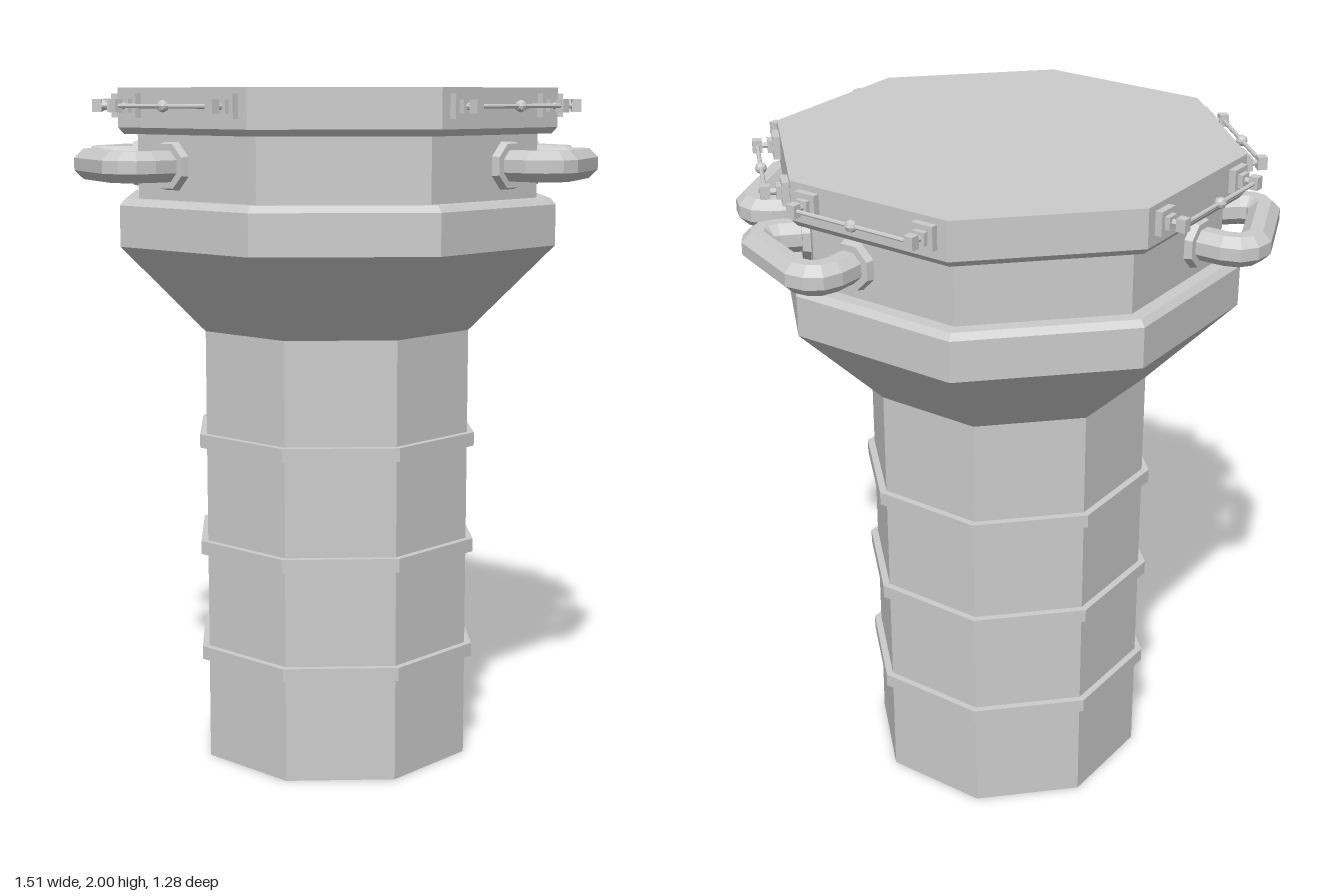
import * as THREE from 'three';

const grey = new THREE.MeshStandardMaterial({ color: 0xcccccc, flatShading: true });
const EIGHTH = Math.PI / 8;

function add(parent, name, geometry, x = 0, y = 0, z = 0) {
  const mesh = new THREE.Mesh(geometry, grey);
  mesh.name = name;
  mesh.position.set(x, y, z);
  parent.add(mesh);
  return mesh;
}

// Octagonal turned body; profile gives [distance to the flat, height]
function octagon(profile) {
  const points = profile.map(([a, y]) => new THREE.Vector2(a / Math.cos(EIGHTH), y));
  return new THREE.LatheGeometry(points, 8).rotateY(EIGHTH);
}

// Octagonal bar swept along a level path of [x, z] points, mitred at each bend
function sweepBar(path, apothem) {
  const up = new THREE.Vector3(0, 1, 0);
  const pts = path.map(([x, z]) => new THREE.Vector3(x, 0, z));
  const dirs = pts.slice(1).map((p, i) => p.clone().sub(pts[i]).normalize());
  const r = apothem / Math.cos(EIGHTH);
  const pos = [], index = [];
  pts.forEach((p, i) => {
    const before = dirs[Math.max(i - 1, 0)];
    const after = dirs[Math.min(i, dirs.length - 1)];
    const t = before.clone().add(after).normalize();
    const n = up.clone().cross(t);
    const mitre = 1 / t.dot(after);
    for (let j = 0; j < 8; j++) {
      const a = j * Math.PI / 4 + EIGHTH;
      const side = Math.cos(a) * r * mitre;
      pos.push(p.x + n.x * side, Math.sin(a) * r, p.z + n.z * side);
    }
  });
  for (let i = 0; i < pts.length - 1; i++) {
    for (let j = 0; j < 8; j++) {
      const a = i * 8 + j, b = i * 8 + (j + 1) % 8;
      index.push(a, b, a + 8, b, b + 8, a + 8);
    }
  }
  const geometry = new THREE.BufferGeometry();
  geometry.setAttribute('position', new THREE.Float32BufferAttribute(pos, 3));
  geometry.setIndex(index);
  geometry.computeVertexNormals();
  return geometry;
}

// Bent handle joining a side face of the neck to the diagonal face beside it
function makeHandle() {
  const handle = new THREE.Group();
  handle.name = 'handle';
  const half = [[0.53, 0.093], [0.655, 0.096], [0.69, 0.108], [0.706, 0.13], [0.71, 0.165]];
  const mirrored = half.map(([x, z]) => [(x + z) * Math.SQRT1_2, (x - z) * Math.SQRT1_2]).reverse();
  add(handle, 'handleBar', sweepBar([...half, ...mirrored], 0.043));

  // Collars where the bar meets the neck
  for (const [angle, offset] of [[0, 0.093], [-Math.PI / 4, -0.093]]) {
    const mount = new THREE.Group();
    mount.name = 'handleMount';
    mount.rotation.y = angle;
    const collar = new THREE.CylinderGeometry(0.066, 0.074, 0.03, 8).rotateY(EIGHTH).rotateZ(-Math.PI / 2);
    add(mount, 'handleCollar', collar, 0.574, 0, offset);
    handle.add(mount);
  }
  handle.position.y = 1.785;
  return handle;
}

// Thin rail on two brackets, standing off a face of the cap toward +z
function makeRail() {
  const rail = new THREE.Group();
  rail.name = 'rail';
  const out = 0.683;
  for (const s of [-1, 1]) {
    add(rail, 'bracketPlate', new THREE.BoxGeometry(0.066, 0.066, 0.024), s * 0.192, 0, 0.628);
    add(rail, 'bracketBlock', new THREE.BoxGeometry(0.036, 0.036, 0.016), s * 0.192, 0, 0.646);
    add(rail, 'bracketPeg', new THREE.CylinderGeometry(0.007, 0.011, 0.05, 8).rotateX(Math.PI / 2), s * 0.192, 0, 0.66);
    add(rail, 'railEnd', new THREE.BoxGeometry(0.027, 0.036, 0.027), s * 0.192, 0, out);
  }
  add(rail, 'railRod', new THREE.CylinderGeometry(0.006, 0.006, 0.384, 8).rotateZ(Math.PI / 2), 0, 0, out);
  add(rail, 'railBead', new THREE.SphereGeometry(0.017, 8, 6).rotateZ(Math.PI / 2), 0, 0, out);
  rail.position.y = 1.95;
  return rail;
}

export function createModel() {
  const model = new THREE.Group();
  model.name = 'octagonalPillar';

  // Shaft, flared head, recessed neck and cap
  add(model, 'pillarBody', octagon([
    [0, 0], [0.385, 0], [0.385, 1.3], [0.62, 1.555], [0.62, 1.672], [0.605, 1.69],
    [0.567, 1.69], [0.567, 1.872], [0.605, 1.872], [0.62, 1.89], [0.62, 2], [0, 2],
  ]));

  // Raised bands round the shaft
  for (const y of [0.327, 0.652, 0.975]) {
    const h = 0.02;
    add(model, 'shaftBand', octagon([[0.38, -h], [0.405, -h], [0.405, h], [0.38, h]]), 0, y, 0);
  }

  // Two handles on each side
  for (const deg of [0, 45, 180, 225]) {
    const handle = makeHandle();
    handle.rotation.y = THREE.MathUtils.degToRad(deg);
    model.add(handle);
  }

  // Rails on the side and diagonal faces; front and back stay clear
  for (const deg of [45, 90, 135, 225, 270, 315]) {
    const rail = makeRail();
    rail.rotation.y = THREE.MathUtils.degToRad(deg);
    model.add(rail);
  }
  return model;
}
